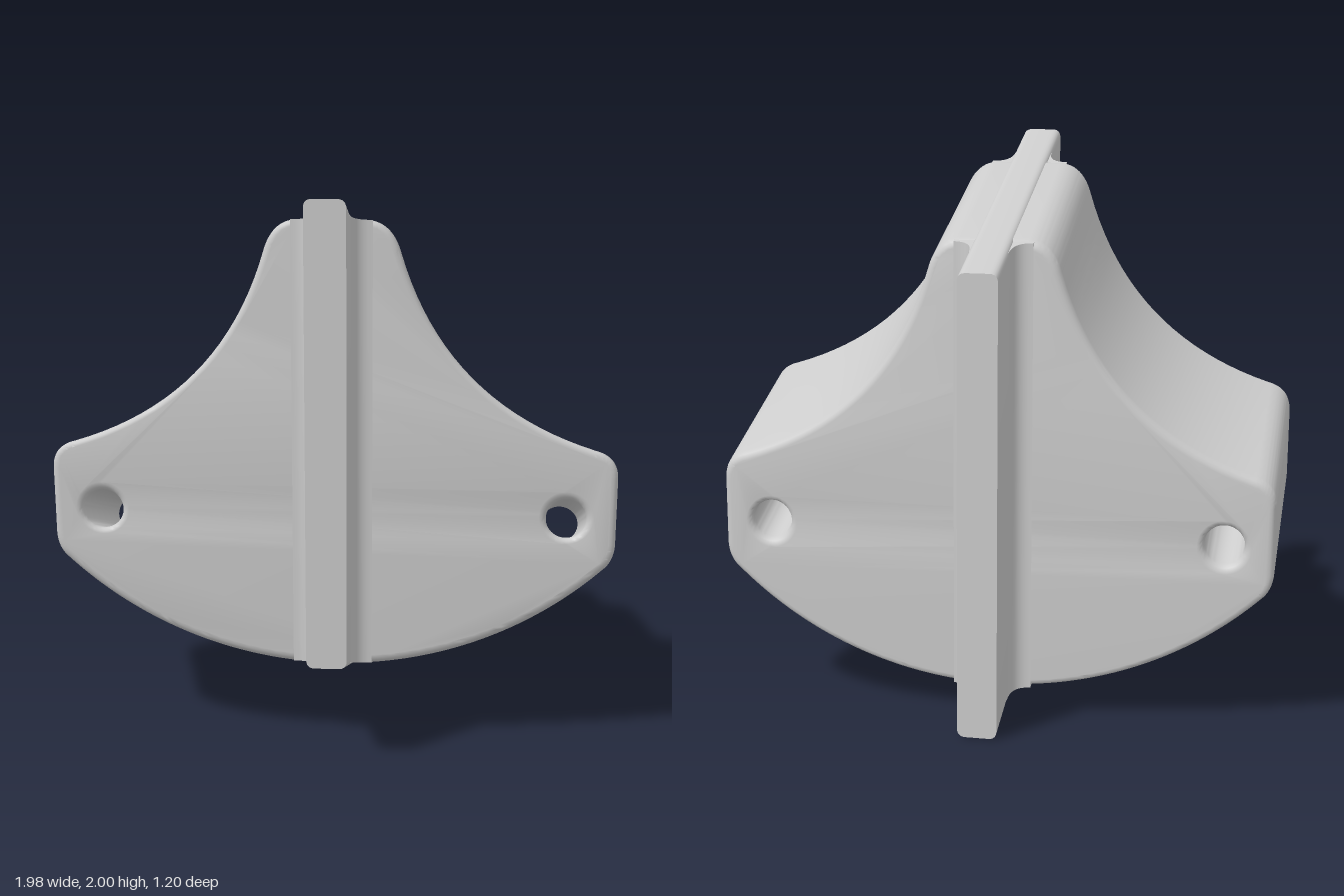
import * as THREE from 'three';
import { toCreasedNormals } from 'three/addons/utils/BufferGeometryUtils.js';

const HEIGHT = 1.62;      // height of the section
const RIB_HALF = 0.58;    // half depth of the rib
const BODY_HALF = 0.325;  // half depth of the body

// Lean the upright section: the depth axis slopes up to the front.
function lean(geometry) {
  const p = geometry.attributes.position;
  for (let i = 0; i < p.count; i++) {
    const v = p.getY(i), s = p.getZ(i);
    p.setY(i, v + 0.328 * s + 0.19);
    p.setZ(i, s + 0.0245 * (v - HEIGHT / 2));
  }
  return toCreasedNormals(geometry, 0.6);
}

// Right half of the body outline, mirrored to make the whole.
function bodyShape() {
  const half = new THREE.Path();
  half.absarc(0, 1.387, 1.377, -Math.PI / 2, -Math.PI / 2 + 0.76, false);
  half.quadraticCurveTo(0.985, 0.42, 0.988, 0.48);
  half.lineTo(0.99, 0.72);
  half.quadraticCurveTo(0.99, 0.80, 0.91, 0.82);
  half.quadraticCurveTo(0.389, 0.98, 0.235, 1.5);
  half.quadraticCurveTo(0.205, 1.605, 0.12, 1.61);
  const right = half.getPoints(20);
  const left = right.slice(1).reverse().map((p) => new THREE.Vector2(-p.x, p.y));
  const shape = new THREE.Shape([...right, ...left]);
  for (const side of [-1, 1]) {
    const hole = new THREE.Path();
    hole.absarc(side * 0.815, 0.573, 0.07, 0, Math.PI * 2, true);
    shape.holes.push(hole);
  }
  return shape;
}

// Rib section with rounded corners.
function ribShape() {
  const w = 0.07, r = 0.03, h = HEIGHT;
  const s = new THREE.Shape();
  s.moveTo(-w + r, 0).lineTo(w - r, 0);
  s.quadraticCurveTo(w, 0, w, r);
  s.lineTo(w, h - r);
  s.quadraticCurveTo(w, h, w - r, h);
  s.lineTo(-w + r, h);
  s.quadraticCurveTo(-w, h, -w, h - r);
  s.lineTo(-w, r);
  s.quadraticCurveTo(-w, 0, -w + r, 0);
  return s;
}

// Plan of the fillets that blend the rib into a face of the body.
function filletShape() {
  const s = new THREE.Shape();
  s.moveTo(-0.14, 0.3).lineTo(0.14, 0.3).lineTo(0.14, BODY_HALF);
  s.quadraticCurveTo(0.069, BODY_HALF, 0.069, 0.4);
  s.lineTo(-0.069, 0.4);
  s.quadraticCurveTo(-0.069, BODY_HALF, -0.14, BODY_HALF);
  s.closePath();
  return s;
}

export function createModel() {
  const group = new THREE.Group();
  group.name = 'ribbedBlock';
  const material = new THREE.MeshStandardMaterial({ color: 0xcccccc });
  const add = (name, geometry) => {
    const mesh = new THREE.Mesh(lean(geometry), material);
    mesh.name = name;
    group.add(mesh);
  };

  // Body with softened edges and two through holes
  const bevel = 0.025;
  const body = new THREE.ExtrudeGeometry(bodyShape(), {
    depth: 2 * (BODY_HALF - bevel), curveSegments: 24, bevelEnabled: true,
    bevelThickness: bevel, bevelSize: bevel, bevelOffset: -bevel, bevelSegments: 4,
  });
  add('body', body.translate(0, 0, -(BODY_HALF - bevel)));

  // Central rib
  const rib = new THREE.ExtrudeGeometry(ribShape(), {
    depth: 2 * RIB_HALF, curveSegments: 6, bevelEnabled: false,
  });
  add('rib', rib.translate(0, 0, -RIB_HALF));

  // Fillets on the front and back
  for (const side of [-1, 1]) {
    const length = HEIGHT - 0.03;
    const fillet = new THREE.ExtrudeGeometry(filletShape(), {
      depth: length, curveSegments: 8, bevelEnabled: false,
    });
    fillet.translate(0, 0, -length / 2).rotateX(side * Math.PI / 2).translate(0, HEIGHT / 2, 0);
    add(side > 0 ? 'frontFillet' : 'backFillet', fillet);
  }
  return group;
}
